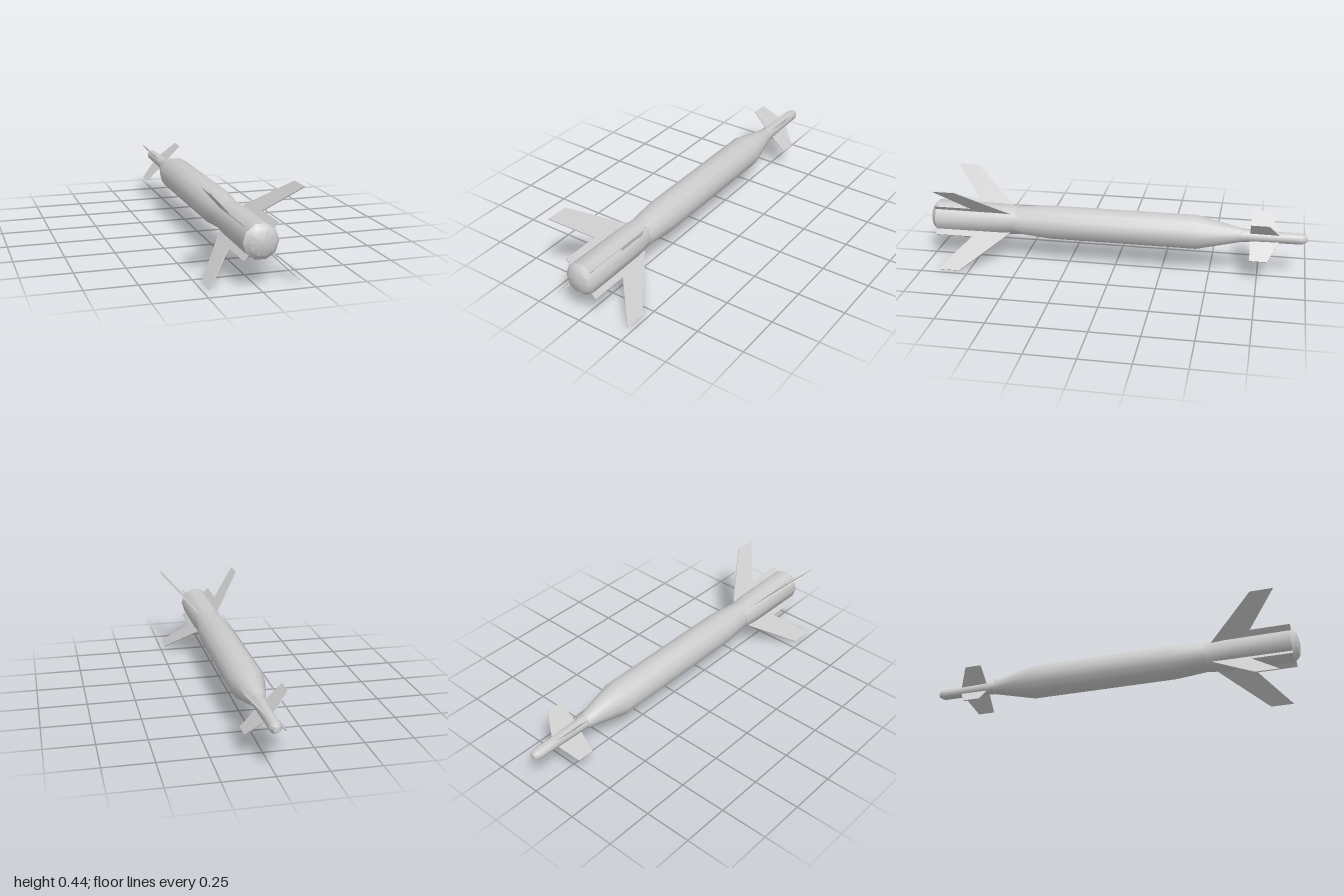
import * as THREE from 'three';
import { toCreasedNormals } from 'three/addons/utils/BufferGeometryUtils.js';

const material = new THREE.MeshStandardMaterial({ color: 0xcccccc });

// Round part along z from [radius, z] pairs, listed from nose to tail.
function turned(name, profile, sides) {
  const points = profile.map(([r, z]) => new THREE.Vector2(r, z));
  const geometry = new THREE.LatheGeometry(points, sides, Math.PI / sides);
  geometry.rotateX(Math.PI / 2);
  const mesh = new THREE.Mesh(toCreasedNormals(geometry, 0.65), material);
  mesh.name = name;
  return mesh;
}

// Four thin plates in an X, outlined by [radius, z] pairs.
function finSet(name, outline, thickness) {
  const shape = new THREE.Shape(outline.map(([r, z]) => new THREE.Vector2(r, z)));
  const geometry = new THREE.ExtrudeGeometry(shape, { depth: thickness, bevelEnabled: false });
  geometry.translate(0, 0, -thickness / 2);
  geometry.rotateX(Math.PI / 2);
  const set = new THREE.Group();
  set.name = name + 's';
  for (let i = 0; i < 4; i++) {
    const fin = new THREE.Mesh(geometry, material);
    fin.name = name;
    fin.rotation.z = Math.PI / 4 + i * Math.PI / 2;
    set.add(fin);
  }
  return set;
}

export function createModel() {
  const model = new THREE.Group();
  const axis = new THREE.Group();
  axis.name = 'bomb';
  axis.position.y = 0.223;
  model.add(axis);

  // Slim guidance nose with a blunt tip
  axis.add(turned('nose', [
    [0, -1], [0.016, -0.995], [0.029, -0.97], [0.03, -0.85], [0.034, -0.69], [0.038, -0.6],
  ], 10));

  // Main casing, tapered at both ends
  axis.add(turned('casing', [
    [0, -0.665], [0.037, -0.66], [0.046, -0.62], [0.09, -0.43], [0.09, 0.35], [0.074, 0.53], [0, 0.53],
  ], 14));

  // Tail section with a shallow domed end
  axis.add(turned('tail', [
    [0, 0.505], [0.074, 0.51], [0.083, 0.62], [0.085, 0.965], [0.062, 0.988], [0, 1],
  ], 10));

  // Small steering fins on the nose
  axis.add(finSet('noseFin', [
    [0.015, -0.86], [0.05, -0.845], [0.141, -0.8], [0.141, -0.71], [0.015, -0.705],
  ], 0.005));

  // Swept tail fins, each with a low strake running to the end
  axis.add(finSet('tailFin', [
    [0.03, 0.52], [0.089, 0.57], [0.311, 0.8], [0.311, 0.917],
    [0.115, 0.765], [0.115, 0.966], [0.03, 0.966],
  ], 0.005));

  return model;
}
